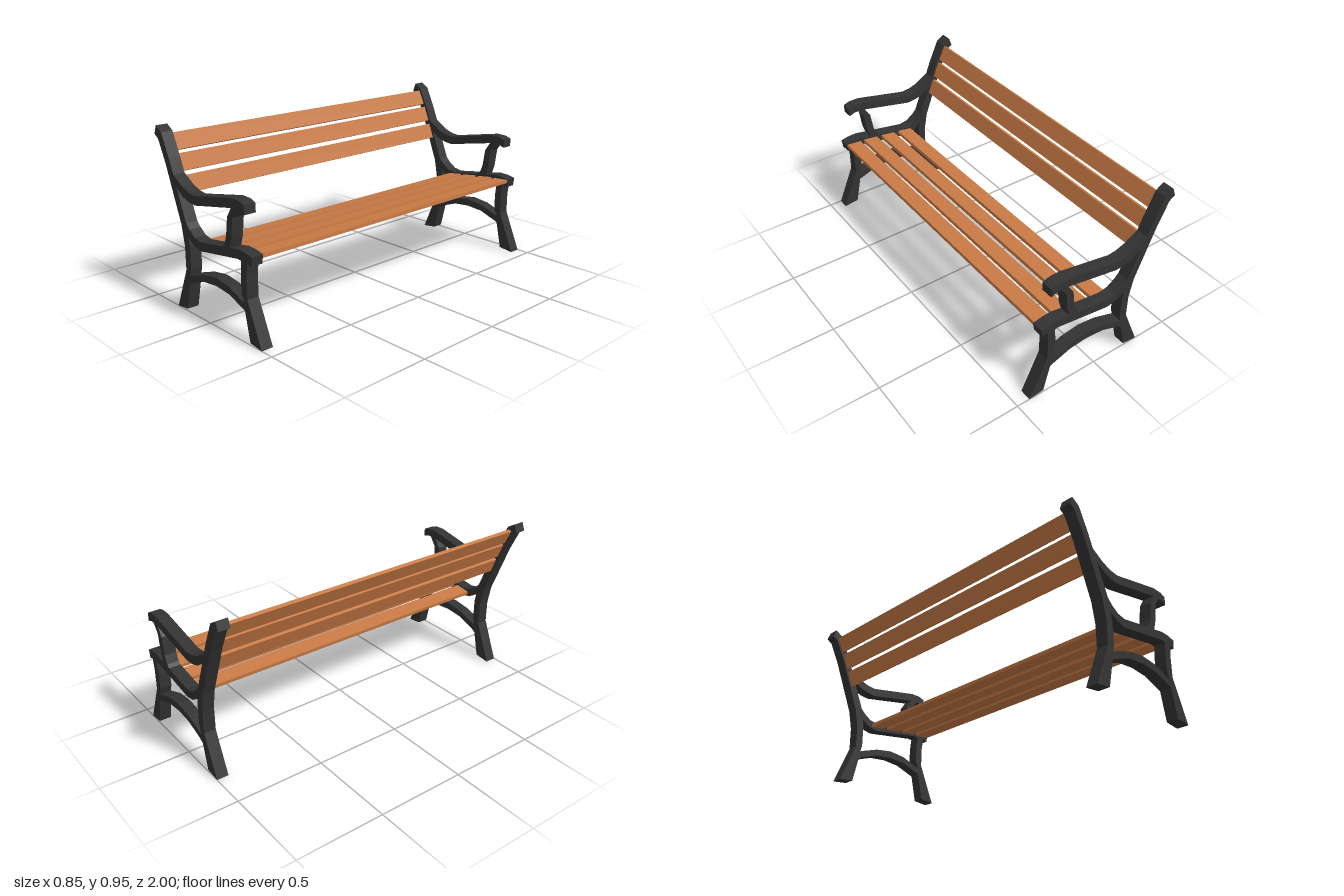
import * as THREE from 'three';

const pts = (list) => list.map(([x, y]) => new THREE.Vector2(x, y));

// Side profile of a cast end frame: legs, stretcher, seat rail, armrest and back post
const OUTLINE = [
  [-0.297, 0], [-0.208, 0.01], [-0.173, 0.157],                                   // back foot
  [-0.143, 0.174], [-0.037, 0.212], [0.07, 0.222], [0.176, 0.212], [0.302, 0.167], // stretcher underside
  [0.337, 0.01], [0.425, 0], [0.325, 0.23], [0.325, 0.345], [0.335, 0.419],       // front leg
  [0.363, 0.406], [0.371, 0.454], [0.32, 0.465], [0.265, 0.468], [0.2, 0.456],    // seat rail tip
  [0.216, 0.507], [0.231, 0.613], [0.266, 0.661], [0.286, 0.662],                 // arm post
  [0.326, 0.648], [0.326, 0.695], [0.29, 0.708], [0.23, 0.71],                    // armrest tip
  [-0.085, 0.65], [-0.135, 0.656], [-0.19, 0.675], [-0.269, 0.722],               // armrest top
  [-0.3, 0.797], [-0.361, 0.925], [-0.408, 0.954], [-0.426, 0.907],               // back post top
  [-0.394, 0.886], [-0.337, 0.769], [-0.22, 0.47], [-0.199, 0.36], [-0.199, 0.23],
];
const ARM_OPENING = [
  [-0.244, 0.657], [-0.19, 0.622], [-0.138, 0.607], [-0.085, 0.601], [0.222, 0.659],
  [0.188, 0.608], [0.173, 0.508], [0.155, 0.463], [0.138, 0.448],
  [-0.052, 0.419], [-0.102, 0.429], [-0.148, 0.46], [-0.175, 0.488],
];
const LEG_OPENING = [
  [-0.161, 0.417], [-0.153, 0.37], [-0.153, 0.248], [-0.163, 0.207],
  [-0.143, 0.215], [-0.037, 0.25], [0.07, 0.265], [0.176, 0.252], [0.298, 0.206],
  [0.28, 0.25], [0.28, 0.34], [0.288, 0.416], [0.26, 0.418],
  [-0.052, 0.371], [-0.107, 0.383],
];

const FRAME_DEPTH = 0.066;

export function createModel() {
  const iron = new THREE.MeshStandardMaterial({ color: 0x333333 });
  iron.name = 'dark iron';
  const wood = new THREE.MeshStandardMaterial({ color: 0xc87a45 });
  wood.name = 'warm wood';

  const bench = new THREE.Group();
  bench.name = 'bench';

  // End frames
  const shape = new THREE.Shape(pts(OUTLINE));
  shape.holes.push(new THREE.Path(pts(ARM_OPENING)), new THREE.Path(pts(LEG_OPENING)));
  const frameGeometry = new THREE.ExtrudeGeometry(shape, { depth: FRAME_DEPTH, bevelEnabled: false });
  frameGeometry.translate(0, 0, -FRAME_DEPTH / 2);
  for (const [name, side] of [['frontEndFrame', 1], ['backEndFrame', -1]]) {
    const frame = new THREE.Mesh(frameGeometry, iron);
    frame.name = name;
    frame.position.z = side * (1 - FRAME_DEPTH / 2);
    bench.add(frame);
  }

  // Slats run between the frames, each tilted about its length
  const slatGeometry = new THREE.BoxGeometry(0.092, 0.02, 1.9);
  const addSlats = (name, rows) => rows.forEach(([x, y, angle], i) => {
    const slat = new THREE.Mesh(slatGeometry, wood);
    slat.name = `${name}${i + 1}`;
    slat.position.set(x, y, 0);
    slat.rotation.z = angle;
    bench.add(slat);
  });
  addSlats('seatSlat', [
    [-0.043, 0.404, 0.13], [0.078, 0.418, 0.13], [0.202, 0.432, 0.12], [0.318, 0.44, 0.07],
  ]);
  addSlats('backSlat', [
    [-0.27, 0.659, Math.PI / 2 + 0.38],
    [-0.313, 0.766, Math.PI / 2 + 0.4],
    [-0.36, 0.867, Math.PI / 2 + 0.45],
  ]);

  return bench;
}
